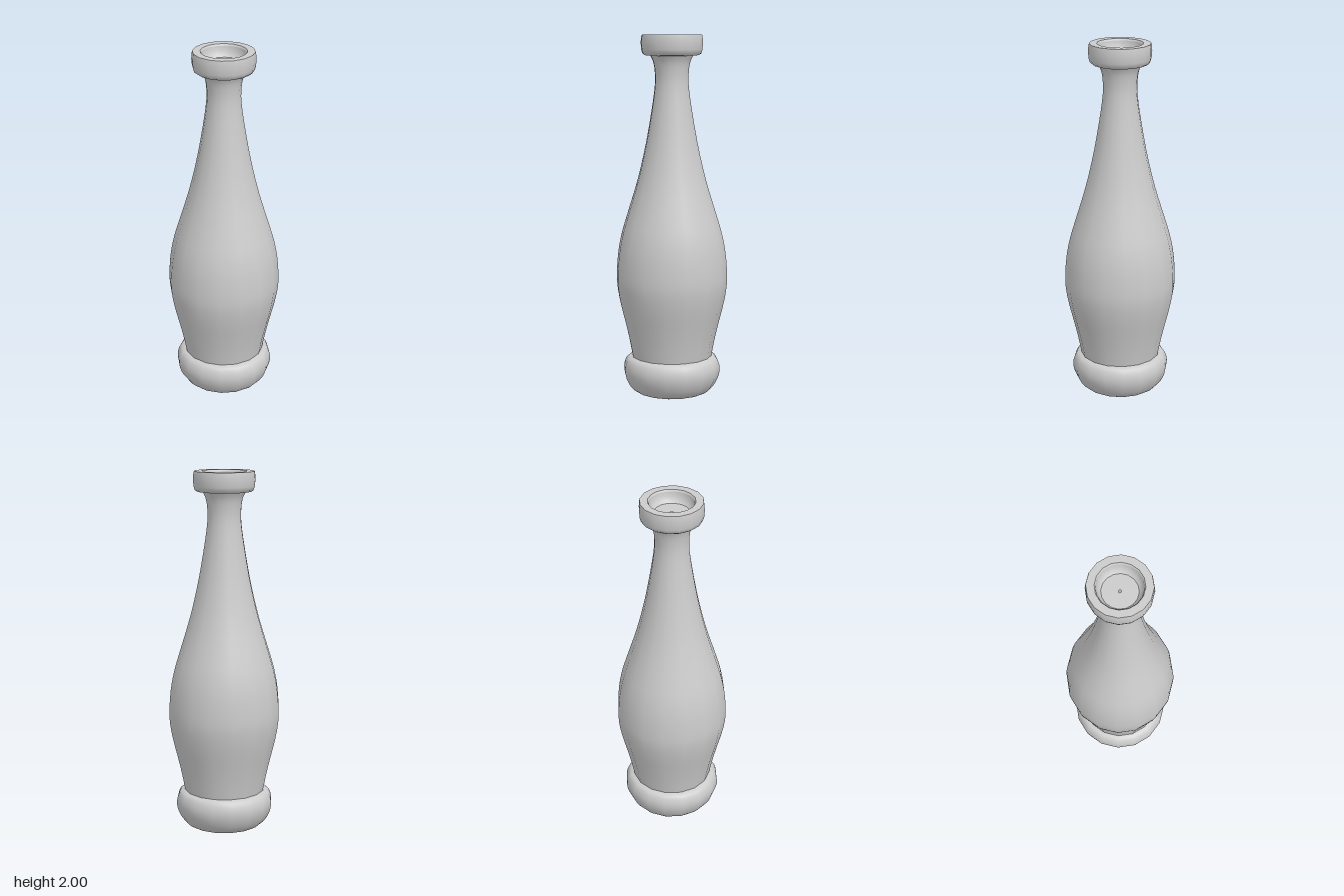
import * as THREE from 'three';

const SIDES = 16;

export function createModel() {
  const group = new THREE.Group();
  const material = new THREE.MeshStandardMaterial({ color: 0xcccccc, side: THREE.DoubleSide });

  // Turned part from [radius, height] pairs; optionally smoothed by a spline
  const turn = (name, profile, samples = 0) => {
    let points = profile.map(([r, y]) => new THREE.Vector2(r, y));
    if (samples) points = new THREE.SplineCurve(points).getPoints(samples);
    const mesh = new THREE.Mesh(new THREE.LatheGeometry(points, SIDES), material);
    mesh.name = name;
    group.add(mesh);
  };

  // Underside with a pin-hole at its centre
  turn('underside', [[0.008, 0], [0.15, 0]]);

  // Bulging foot
  turn('foot', [[0.15, 0], [0.2, 0.012], [0.235, 0.04], [0.26, 0.085], [0.271, 0.13],
    [0.267, 0.17], [0.25, 0.203], [0.222, 0.215]], 20);

  // Swelling body that narrows into the neck
  turn('body', [[0.222, 0.205], [0.24, 0.3], [0.263, 0.4], [0.288, 0.5], [0.305, 0.59],
    [0.31, 0.67], [0.302, 0.79], [0.282, 0.9], [0.25, 1.01], [0.192, 1.2], [0.145, 1.4],
    [0.11, 1.6], [0.094, 1.72], [0.093, 1.79], [0.101, 1.85], [0.118, 1.888]], 40);

  // Lip ring around the mouth
  turn('lipUnderside', [[0.11, 1.888], [0.148, 1.89]]);
  turn('lipOuter', [[0.148, 1.89], [0.162, 1.9], [0.168, 1.92], [0.171, 1.955], [0.169, 1.985], [0.166, 2]]);
  turn('lipTop', [[0.166, 2], [0.125, 2]]);
  turn('mouthBevel', [[0.125, 2], [0.119, 1.99]]);
  turn('mouthWall', [[0.119, 1.99], [0.116, 1.965], [0.105, 1.945], [0.094, 1.935]]);
  turn('mouthFloor', [[0.094, 1.935], [0.008, 1.935]]);

  return group;
}
